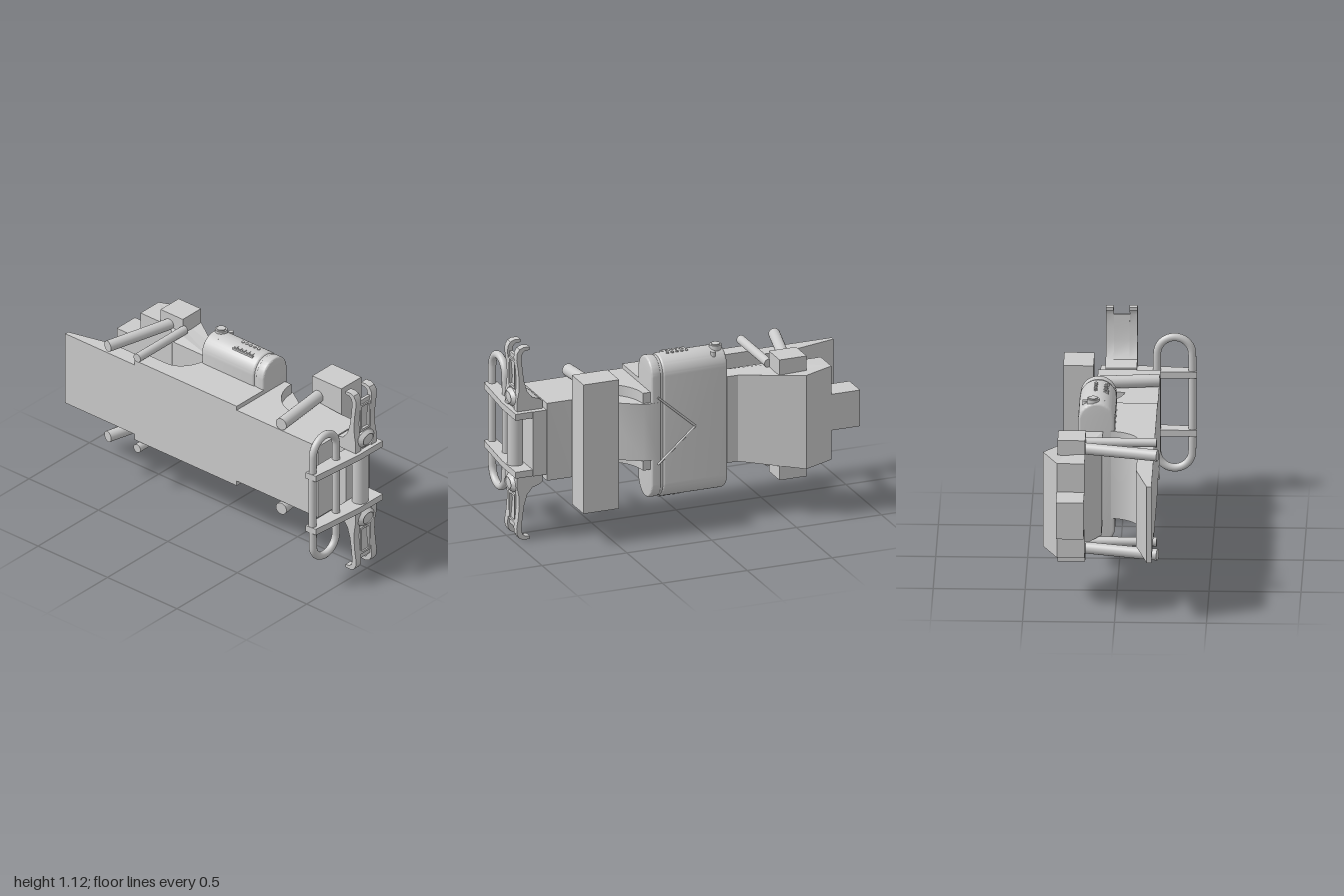
import * as THREE from 'three';
import { mergeVertices, toCreasedNormals } from 'three/addons/utils/BufferGeometryUtils.js';

const MID = 0.56; // height of the mirror plane
const mat = new THREE.MeshStandardMaterial({ color: 0xcccccc, side: THREE.DoubleSide });

export function createModel() {
  const root = new THREE.Group();
  const add = (name, geo, parent = root) => {
    const m = new THREE.Mesh(geo, mat);
    m.name = name;
    parent.add(m);
    return m;
  };
  const box = (name, x0, x1, y0, y1, z0, z1, parent) =>
    add(name, new THREE.BoxGeometry(x1 - x0, y1 - y0, z1 - z0)
      .translate((x0 + x1) / 2, (y0 + y1) / 2, (z0 + z1) / 2), parent);
  const smooth = (g) => toCreasedNormals(g, 0.6);
  // Plan outline of [x, z] points, raised between two heights
  const slab = (name, pts, y0, y1) => {
    const shape = new THREE.Shape(pts.map(([x, z]) => new THREE.Vector2(x, -z)));
    const g = new THREE.ExtrudeGeometry(shape, { depth: y1 - y0, bevelEnabled: false });
    return add(name, smooth(g.rotateX(-Math.PI / 2).translate(0, y0, 0)));
  };
  // Round bar between two points
  const rod = (name, a, b, r, parent) => {
    const A = new THREE.Vector3(...a), B = new THREE.Vector3(...b), d = B.clone().sub(A);
    const m = add(name, new THREE.CylinderGeometry(r, r, d.length(), 24), parent);
    m.position.copy(A).add(B).multiplyScalar(0.5);
    m.quaternion.setFromUnitVectors(new THREE.Vector3(0, 1, 0), d.normalize());
    return m;
  };
  const arc = (cx, cz, rx, rz, a0, a1, n = 10) => Array.from({ length: n + 1 }, (_, i) => {
    const a = a0 + (a1 - a0) * i / n;
    return [cx + rx * Math.cos(a), cz + rz * Math.sin(a)];
  });

  // Front plate and main body
  slab('frontPlate', [[-1, 0.2], [-1, 0.175], [-0.74, 0.11], [-0.49, 0.11], [-0.49, 0.2]], 0.345, 0.785);
  slab('centreBody', [[-0.5, 0.2], [-0.5, 0.11], ...arc(-0.35, -0.07, 0.14, 0.18, Math.PI / 2, 0),
    [-0.2, -0.1], [0.235, -0.1], [0.235, 0.2]], 0.31, 0.815);
  slab('rightBody', [[0.23, 0.2], [0.23, -0.2], [0.28, -0.2], ...arc(0.5, -0.2, 0.22, 0.22, Math.PI, Math.PI * 0.55),
    [0.47, -0.16], [0.68, -0.14], [0.82, -0.14], [0.82, 0.2]], 0.34, 0.79);
  slab('rightCore', [[0.2, 0], [0.2, -0.22], [0.28, -0.215], [0.48, -0.09], [0.48, 0]], 0.4, 0.73);
  box('endBlock', 0.81, 0.9, 0.375, 0.75, -0.135, 0.06);

  // Rear hump, narrowing towards the pouch
  const hump = slab('rearHump', [[-0.78, -0.17], [-0.78, -0.32], [-0.6, -0.4], [-0.28, -0.2], [-0.19, -0.2],
    [-0.19, -0.085], [-0.48, -0.085], [-0.56, -0.17]], 0.29, 0.835);
  const hp = hump.geometry.attributes.position;
  for (let i = 0; i < hp.count; i++) {
    if (hp.getX(i) > -0.5) hp.setY(i, MID + (hp.getY(i) - MID) * 0.92);
  }
  hump.geometry.computeVertexNormals();
  box('rearStub', -0.95, -0.77, 0.46, 0.67, -0.32, -0.17);
  box('leftLegBlock', -0.635, -0.475, 0.215, 0.915, -0.32, -0.17);
  box('rightLegBlock', 0.47, 0.68, 0.19, 0.94, -0.32, -0.155);

  // Legs, above and below
  for (const s of [-1, 1]) {
    const y = MID + s * 0.287;
    rod('slantedLeg', [-0.57, y, -0.18], [-0.672, y, 0.225], 0.032);
    rod('straightLeg', [-0.47, y, -0.18], [-0.47, y, 0.215], 0.025);
    const yr = MID + s * 0.268;
    rod('rightLeg', [0.512, yr, -0.17], [0.555, yr, 0.2], 0.035);
  }

  // Rounded pouch: stadium cross-section along x
  const stadium = (r, h) => {
    const s = new THREE.Shape();
    s.absarc(0, h, r, 0, Math.PI, false);
    s.absarc(0, -h, r, Math.PI, Math.PI * 2, false);
    s.closePath();
    return s;
  };
  const pouchPart = (name, x0, x1, r, bevel) => {
    const g = new THREE.ExtrudeGeometry(stadium(r - bevel, 0.31), {
      depth: x1 - x0 - 2 * bevel, bevelThickness: bevel, bevelSize: bevel, bevelSegments: 3, curveSegments: 20 });
    g.rotateY(Math.PI / 2).translate(x0 + bevel, 0.565, -0.12);
    add(name, smooth(g));
  };
  pouchPart('pouch', -0.212, 0.17, 0.101, 0.015);
  pouchPart('pouchGroove', 0.16, 0.19, 0.094, 0.004);
  pouchPart('pouchRim', 0.18, 0.235, 0.098, 0.01);

  // Seam flap on the back of the pouch
  rod('flapSeam', [0.2, 0.76, -0.221], [-0.02, 0.565, -0.221], 0.006);
  rod('flapSeam', [0.2, 0.37, -0.221], [-0.02, 0.565, -0.221], 0.006);

  // Controls on the pouch ends
  for (const s of [-1, 1]) {
    const end = new THREE.Group();
    end.name = 'pouchControls';
    end.position.set(s > 0 ? 0 : 0.05, 0.565, 0);
    end.scale.y = s;
    root.add(end);
    box('controlStrip', -0.02, 0.122, 0.385, 0.402, -0.093, -0.06, end);
    for (let i = 0; i < 5; i++) {
      const x = -0.006 + i * 0.028;
      box('key', x - 0.009, x + 0.009, 0.39, 0.407, -0.088, -0.066, end);
      rod('stud', [x, 0.395, -0.13], [x, 0.415, -0.13], 0.009, end);
    }
    if (s > 0) {
      rod('dial', [-0.172, 0.38, -0.14], [-0.172, 0.425, -0.14], 0.034, end);
      rod('dialCap', [-0.172, 0.42, -0.14], [-0.172, 0.431, -0.14], 0.025, end);
      for (const [x, z] of [[-0.14, -0.09], [-0.14, -0.185]])
        rod('button', [x, 0.35, z], [x, 0.402, z], 0.014, end);
    }
  }

  // Side brackets holding the handle
  for (const y of [0.375, 0.712]) {
    slab('bracket', [[0.82, 0.06], [0.82, -0.13], [1, -0.13], [1, 0.06], [0.97, 0.39], [0.9, 0.395], [0.9, 0.06]], y, y + 0.037);
  }
  rod('crossBar', [0.95, 0.38, 0], [0.95, 0.74, 0], 0.045);

  // Oval handle loop
  const loop = [];
  for (let i = 0; i < 48; i++) {
    const a = (i + 0.5) / 48 * Math.PI * 2;
    loop.push(new THREE.Vector3(0.93, 0.563 + Math.sign(Math.sin(a)) * 0.283 + 0.095 * Math.sin(a), 0.273 + 0.095 * Math.cos(a)));
  }
  add('handle', new THREE.TubeGeometry(new THREE.CatmullRomCurve3(loop, true, 'centripetal'), 160, 0.022, 14, true));

  // Hooked claws, above and below
  const lower = [[0.83, 0.19], [0.83, 0.235], [0.85, 0.25], [0.89, 0.262], [0.92, 0.3], [0.938, 0.36], [0.948, 0.43]];
  const outer = [[0.973, 0.43], [0.967, 0.36], [0.97, 0.3], [0.98, 0.25], [0.98, 0.19]];
  const tip = [[0.954, 0.5], [0.948, 0.525], [0.935, 0.538], [0.906, 0.541], [0.906, 0.558], [0.94, 0.56], [0.965, 0.55], [0.98, 0.525], [0.982, 0.49]];
  const hookPart = (name, pts, z0, z1, parent) => {
    const s = new THREE.Shape(pts.map(([x, y]) => new THREE.Vector2(x, y)));
    const g = new THREE.ExtrudeGeometry(s, { depth: z1 - z0, bevelEnabled: false }).translate(0, 0, z0);
    add(name, smooth(g), parent);
  };
  for (const s of [-1, 1]) {
    const claw = new THREE.Group();
    claw.name = 'claw';
    claw.position.set(0, MID, -0.015);
    if (s < 0) claw.rotation.x = Math.PI;
    root.add(claw);
    hookPart('prong', [...lower, ...tip, ...outer], 0.043, 0.086, claw);
    hookPart('prong', [...lower, ...tip, ...outer], -0.086, -0.043, claw);
    hookPart('web', [...lower, [0.953, 0.5], [0.97, 0.5],
      ...outer.map(([x, y]) => [x - 0.008, y])], -0.043, 0.043, claw);
    // Raised frame on the web
    const frame = new THREE.Shape([[-0.042, 0.305], [0.042, 0.305], [0.042, 0.472], [-0.042, 0.472]].map(p => new THREE.Vector2(...p)));
    frame.holes.push(new THREE.Path([[-0.03, 0.318], [-0.03, 0.46], [0.03, 0.46], [0.03, 0.318]].map(p => new THREE.Vector2(...p))));
    add('webFrame', new THREE.ExtrudeGeometry(frame, { depth: 0.02, bevelEnabled: false })
      .rotateY(Math.PI / 2).translate(0.956, 0, 0), claw);
    // Oval boss at the pivot
    const boss = new THREE.LatheGeometry([[0.068, -0.02], [0.068, 0], [0.045, 0.022], [0.042, 0.016], [0, 0.022]]
      .map(p => new THREE.Vector2(...p)), 32);
    boss.rotateZ(-Math.PI / 2).scale(1, 0.74, 1).translate(0.977, 0.25, 0);
    add('pivotBoss', smooth(mergeVertices(boss)), claw);
  }
  return root;
}
